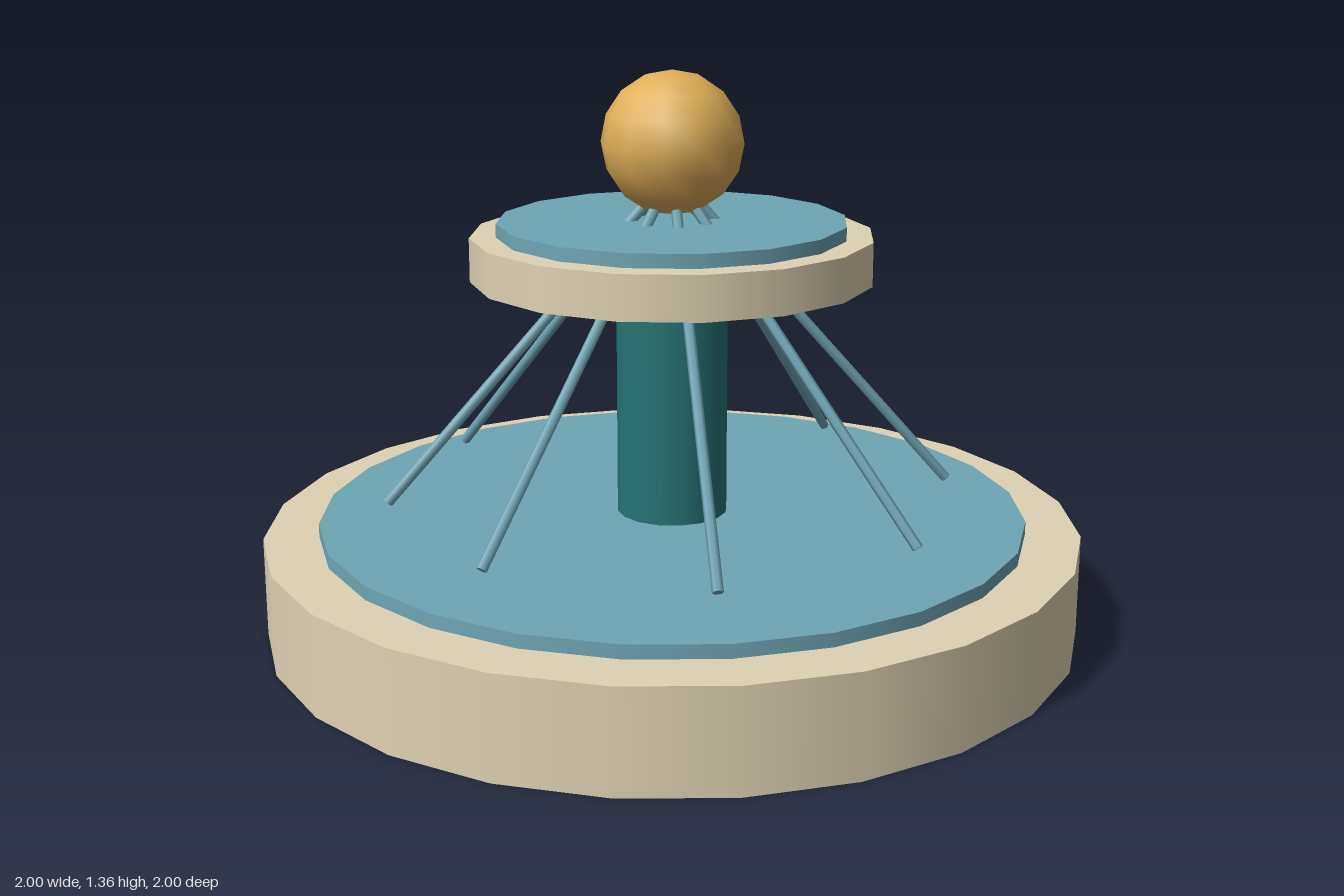
import * as THREE from 'three';

const stone = new THREE.MeshStandardMaterial({ color: 0xdfd2b4 });
const water = new THREE.MeshStandardMaterial({ color: 0x6fa6b4 });
const teal = new THREE.MeshStandardMaterial({ color: 0x267474 });
const gold = new THREE.MeshStandardMaterial({ color: 0xdfae58 });

export function createModel() {
  const model = new THREE.Group();
  model.name = 'fountain';

  const add = (name, geometry, material, y) => {
    const mesh = new THREE.Mesh(geometry, material);
    mesh.name = name;
    mesh.position.y = y;
    model.add(mesh);
    return mesh;
  };
  // Upright disc or column standing between two heights
  const disc = (name, radius, bottom, top, sides, material) =>
    add(name, new THREE.CylinderGeometry(radius, radius, top - bottom, sides), material, (bottom + top) / 2);

  // Lower basin, column and upper basin
  disc('lowerBasin', 1, 0, 0.245, 24, stone);
  disc('lowerWater', 0.866, 0.235, 0.278, 24, water);
  disc('column', 0.136, 0.26, 0.88, 16, teal);
  disc('upperBasin', 0.486, 0.866, 0.972, 16, stone);
  disc('upperWater', 0.422, 0.962, 1.005, 16, water);

  // Finial ball
  add('ball', new THREE.SphereGeometry(0.172, 12, 8), gold, 1.19);

  // Eight straight jets sloping from the ball down to the lower water
  const up = new THREE.Vector3(0, 1, 0);
  for (let i = 0; i < 8; i++) {
    const a = (i * Math.PI) / 4;
    const point = (r, y) => new THREE.Vector3(r * Math.cos(a), y, r * Math.sin(a));
    const low = point(0.698, 0.325);
    const high = point(0.06, 1.05);
    const span = high.clone().sub(low);
    const jet = add('waterJet', new THREE.CylinderGeometry(0.013, 0.013, span.length(), 6), water, 0);
    jet.position.copy(low).add(high).multiplyScalar(0.5);
    jet.quaternion.setFromUnitVectors(up, span.normalize());
  }
  return model;
}
